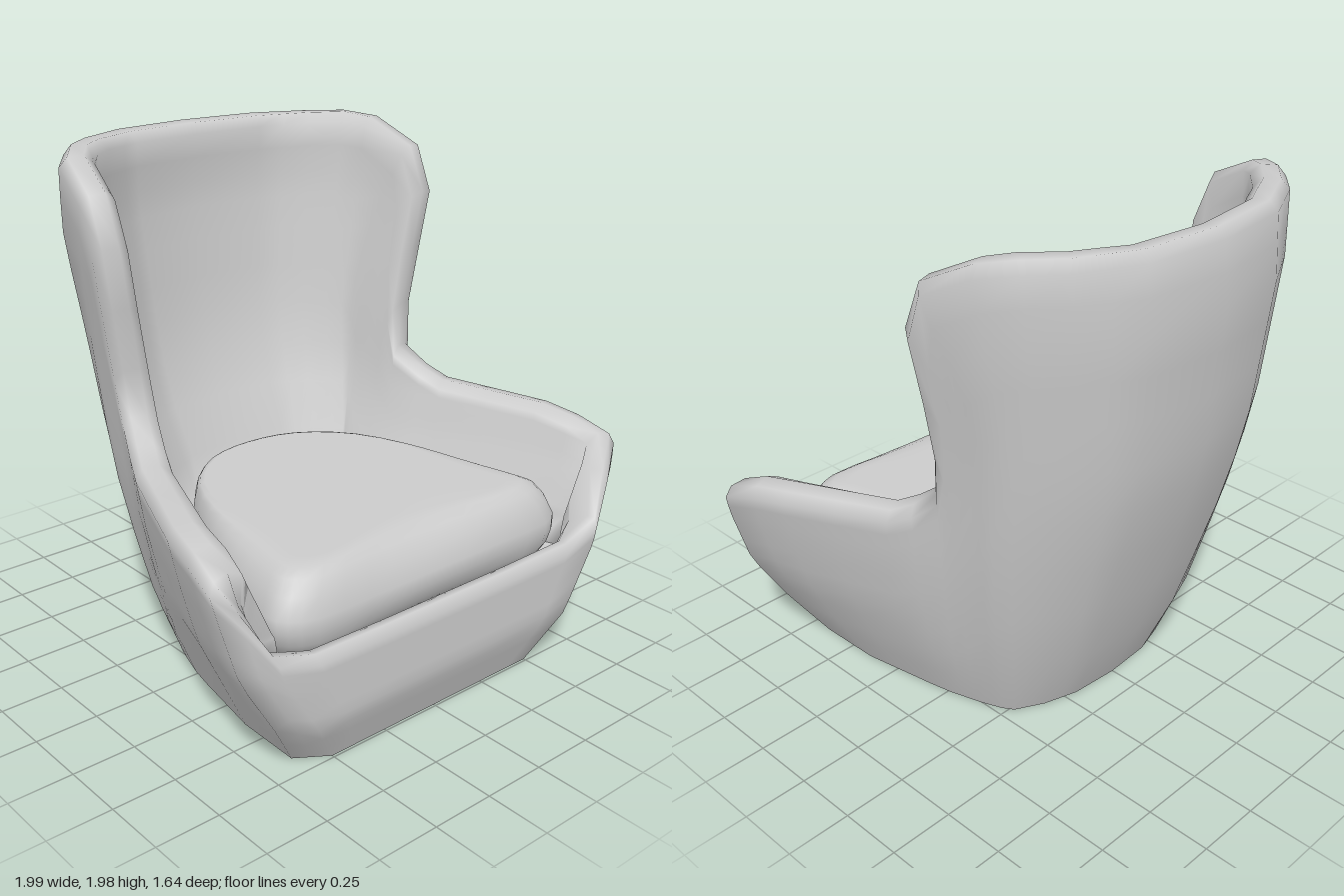
import * as THREE from 'three';

const lerp = THREE.MathUtils.lerp;

// Outer shell by height: y, front half width, front z, wing half width, wing z, back z
const LEVELS = [
  [0, 0.62, 0.74, 0.5, -0.15, -0.38],
  [0.2, 0.75, 0.82, 0.57, -0.17, -0.48],
  [0.45, 0.9, 0.82, 0.63, -0.17, -0.56],
  [0.7, 0.975, 0.81, 0.68, -0.17, -0.645],
  [0.95, 1.03, 0.78, 0.71, -0.17, -0.72],
  [1.2, 1.05, 0.76, 0.735, -0.18, -0.775],
  [1.7, 1.05, 0.76, 0.82, -0.15, -0.825],
  [1.98, 1.05, 0.76, 0.83, -0.2, -0.8],
];
// Rounded back in plan, from wing to back centre (fractions of width and depth)
const BACK = [[0.91, 0.48], [0.67, 0.76], [0.4, 0.94], [0, 1]];

// Top edge: position around the shell, height, start position at the base, sideways bend
const RIM = [
  [0, 0.48, 0, 0], [0.4, 0.48, 0.4, 0], [0.8, 0.485, 0.8, 0], [1, 0.54, 1, 0],
  [1.5, 0.7, 1.5, 0], [2, 0.82, 2, 0], [2.5, 0.865, 2.5, 0], [3, 0.89, 3, 0],
  [3.5, 0.905, 3.4, 0], [4, 0.92, 3.8, 0], [4.5, 0.965, 4.15, 0.1],
  [5, 1.04, 4.5, 0.3], [5, 1.22, 4.8, 0.7], [5, 1.45, 5.1, 1], [5, 1.68, 5.4, 0.9],
  [5.15, 1.86, 5.7, 0.7], [5.8, 1.96, 6.1, 0.3], [6.4, 1.98, 6.5, 0.1],
  [7, 1.98, 7, 0], [7.5, 1.98, 7.5, 0], [8, 1.98, 8, 0], [9, 1.98, 9, 0],
];
const SEAT_Y = 0.42;

// Point on the outer shell: t runs from front centre (0) round one side to back centre (9)
function shellPoint(t, y) {
  if (t < 0 || t > 9) {
    const p = shellPoint(t < 0 ? -t : 18 - t, y);
    p.x = -p.x;
    return p;
  }
  y = THREE.MathUtils.clamp(y, 0, 1.98);
  let k = 0;
  while (k < LEVELS.length - 2 && y > LEVELS[k + 1][0]) k++;
  const f = (y - LEVELS[k][0]) / (LEVELS[k + 1][0] - LEVELS[k][0]);
  const [, wf, zf, ww, zw, zb] = LEVELS[k].map((a, i) => lerp(a, LEVELS[k + 1][i], f));
  const arm = (q, bulge) => [lerp(wf, ww, q) + bulge, lerp(zf - 0.08, zw, q)];
  const plan = [
    [0, zf], [wf - 0.12, zf], [wf, zf - 0.08], arm(0.33, 0.035), arm(0.8, 0.025), [ww, zw],
    ...BACK.map(([a, b]) => [ww * a, lerp(zw, zb, b)]),
  ];
  const i = Math.min(8, Math.floor(t));
  return new THREE.Vector3(
    lerp(plan[i][0], plan[i + 1][0], t - i), y, lerp(plan[i][1], plan[i + 1][1], t - i));
}

function shellNormal(t, y) {
  const across = shellPoint(t + 0.3, y).sub(shellPoint(t - 0.3, y));
  const up = shellPoint(t, y + 0.06).sub(shellPoint(t, y - 0.06));
  return across.cross(up).normalize();
}

// One strip: up the outside, over the rim, down the lining and across the seat deck
function shellColumn([t, y, tb, bend]) {
  const tc = (t + tb) / 2 + bend;
  const at = (v) => [
    (1 - v) ** 2 * tb + 2 * v * (1 - v) * tc + v * v * t,
    y * (1.5 * v - 0.5 * v * v),
  ];
  const wall = t < 1 ? 0.07 : lerp(0.07, 0.13, Math.min(1, (t - 1) * 1.3));
  const inset = (v, d) => {
    const [a, b] = at(v);
    return shellPoint(a, b).addScaledVector(shellNormal(a, b), -d);
  };
  const speed = inset(1, 0).distanceTo(inset(0.9, 0)) / 0.1;
  const vRim = 1 - 0.04 / speed;
  const vSeat = 1.5 - Math.sqrt(2.25 - 2 * SEAT_Y / y);
  const column = [];
  for (let j = 0; j <= 10; j++) column.push(inset(vRim * j / 10, 0));
  column.push(inset(1, wall * 0.25), inset(1, wall * 0.72));
  for (let j = 0; j <= 10; j++) {
    const v = lerp(vRim, vSeat, j / 10);
    const low = t < 1 ? 0 : THREE.MathUtils.clamp((0.9 - at(v)[1]) / 0.48, 0, 1);
    column.push(inset(v, wall + 0.07 * low));
  }
  column[column.length - 1].y = SEAT_Y;
  column.push(new THREE.Vector3(0, SEAT_Y, 0.2));
  return column;
}

// Closed surface strip from columns of equal length
function loft(columns) {
  const rows = columns[0].length, n = columns.length, index = [];
  for (let i = 0; i < n; i++) {
    for (let j = 0; j < rows - 1; j++) {
      const a = i * rows + j, b = ((i + 1) % n) * rows + j;
      index.push(a, b, b + 1, a, b + 1, a + 1);
    }
  }
  const geometry = new THREE.BufferGeometry().setFromPoints(columns.flat());
  geometry.setIndex(index);
  geometry.computeVertexNormals();
  return geometry;
}

// Completes a half loop (first and last columns on the centre line)
function mirrored(half) {
  const other = half.slice(1, -1).reverse()
    .map((c) => c.map((p) => new THREE.Vector3(-p.x, p.y, p.z)));
  return [...half, ...other];
}

// Seat cushion: tapered plan with rounded front and softly rounded sides
function cushionGeometry() {
  const side = [[0.3, 0.75], [0.6, 0.74], [0.69, 0.67], [0.69, 0.57], [0.63, 0.3],
    [0.53, 0.03], [0.38, -0.23], [0.2, -0.365]];
  const half = [[0, 0.75], ...side, [0, -0.4]];
  const loop = [...half, ...side.slice().reverse().map(([x, z]) => [-x, z])];
  const curve = new THREE.CatmullRomCurve3(
    loop.map(([x, z]) => new THREE.Vector3(x, 0, z)), true);
  const section = [[0.42, 0.05], [0.47, 0.015], [0.52, 0], [0.57, 0], [0.64, 0.035],
    [0.69, 0.08], [0.71, 0.13], [0.715, 0.2]];
  const columns = curve.getPoints(48).slice(0, -1).map((p) => {
    const inward = new THREE.Vector3(-p.x, 0, 0.25 - p.z).normalize();
    const round = lerp(0.25, 1, THREE.MathUtils.smoothstep(p.z, -0.2, 0.6));
    const ring = section.map(([y, d]) => {
      const q = p.clone().addScaledVector(inward, d * round);
      q.y = y;
      return q;
    });
    return [new THREE.Vector3(0, 0.42, 0.25), ...ring, new THREE.Vector3(0, 0.715, 0.25)];
  });
  return loft(columns);
}

export function createModel() {
  const group = new THREE.Group();
  group.name = 'armchair';
  const material = new THREE.MeshStandardMaterial({ color: 0xcccccc, side: THREE.DoubleSide });

  const shell = new THREE.Mesh(loft(mirrored(RIM.map(shellColumn))), material);
  shell.name = 'wingbackShell';

  const cushion = new THREE.Mesh(cushionGeometry(), material);
  cushion.name = 'seatCushion';

  group.add(shell, cushion);
  return group;
}
